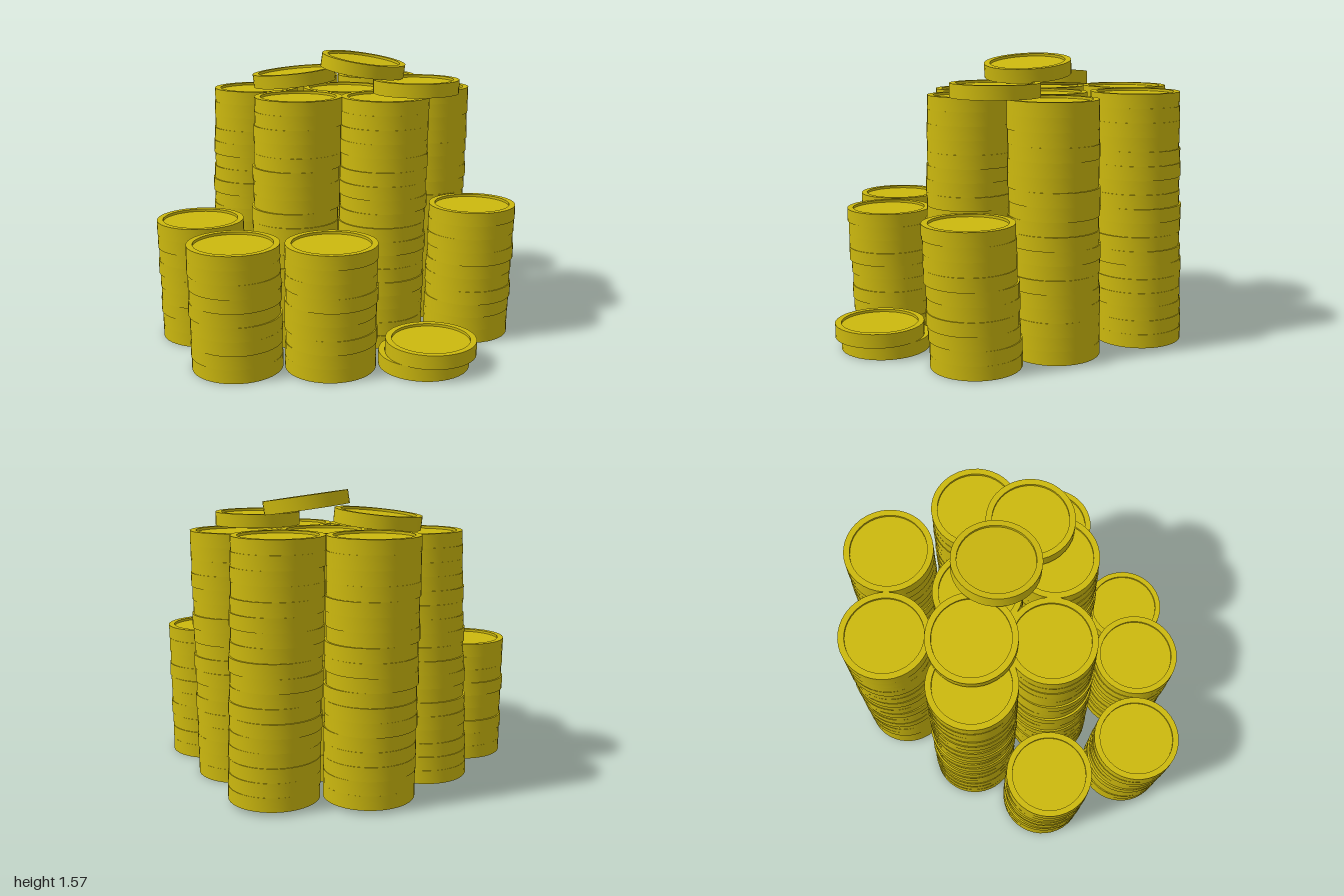
import * as THREE from 'three';
import { toCreasedNormals } from 'three/addons/utils/BufferGeometryUtils.js';

const R = 0.24, H = 0.0756, RIM = 0.207, DIP = 0.014;

// One coin standing on its base: flat underside, raised rim, sunken top face
function coinGeometry() {
  const profile = [[0, 0], [R, 0], [R, H], [RIM, H], [RIM, H - DIP], [0, H - DIP]]
    .map(([x, y]) => new THREE.Vector2(x, y));
  return toCreasedNormals(new THREE.LatheGeometry(profile, 40), 0.7);
}

export function createModel() {
  const model = new THREE.Group();
  model.name = 'coinPile';
  const gold = new THREE.MeshStandardMaterial({ color: 0xccb80e });
  gold.name = 'gold';
  const geometry = coinGeometry();

  const addCoin = (parent, name, x, y, z) => {
    const coin = new THREE.Mesh(geometry, gold);
    coin.name = name;
    coin.position.set(x, y, z);
    parent.add(coin);
    return coin;
  };

  // Leaning stacks: name, coin count, base x, base z, top x, top z, base height
  const stacks = [
    ['backRightStack', 18, -0.225, -0.67, -0.245, -0.66, 0.02],
    ['backLeftStack', 18, 0.265, -0.725, 0.235, -0.69, 0.02],
    ['innerRightStack', 18, -0.52, -0.22, -0.475, -0.19, 0],
    ['centreStack', 18, 0, -0.22, 0.04, -0.2, 0],
    ['innerLeftStack', 18, 0.505, -0.27, 0.527, -0.25, 0],
    ['middleRightStack', 18, -0.25, 0.22, -0.21, 0.205, 0],
    ['middleLeftStack', 18, 0.24, 0.225, 0.265, 0.195, 0],
    ['outerRightStack', 9, -0.75, 0.215, -0.76, 0.24, 0],
    ['outerLeftStack', 10, 0.74, 0.135, 0.757, 0.17, 0],
    ['frontRightStack', 9, -0.515, 0.695, -0.522, 0.725, 0],
    ['frontCentreStack', 9, -0.027, 0.68, -0.02, 0.71, 0],
    ['frontLeftPair', 2, 0.465, 0.655, 0.5, 0.68, 0],
  ];
  stacks.forEach(([name, count, x0, z0, x1, z1, base], s) => {
    const stack = new THREE.Group();
    stack.name = name;
    for (let i = 0; i < count; i++) {
      const t = i / (count - 1);
      // slight unevenness between coins, fading out at both ends
      const wobble = 0.005 * Math.sin(Math.PI * t);
      addCoin(stack, 'coin',
        THREE.MathUtils.lerp(x0, x1, t) + wobble * Math.sin(i * 2.1 + s),
        base + i * H,
        THREE.MathUtils.lerp(z0, z1, t) + wobble * Math.cos(i * 1.7 + s));
    }
    model.add(stack);
  });

  // Loose coins lying across the tall stacks
  addCoin(model, 'flatLooseCoin', 0.44, 1.361, 0.055);
  addCoin(model, 'tiltedLooseCoin', -0.25, 1.383, -0.205).rotation.set(0, 0, 0.1);
  addCoin(model, 'topLooseCoin', 0.14, 1.462, -0.108).rotation.set(0.045, 0, -0.145);

  return model;
}
